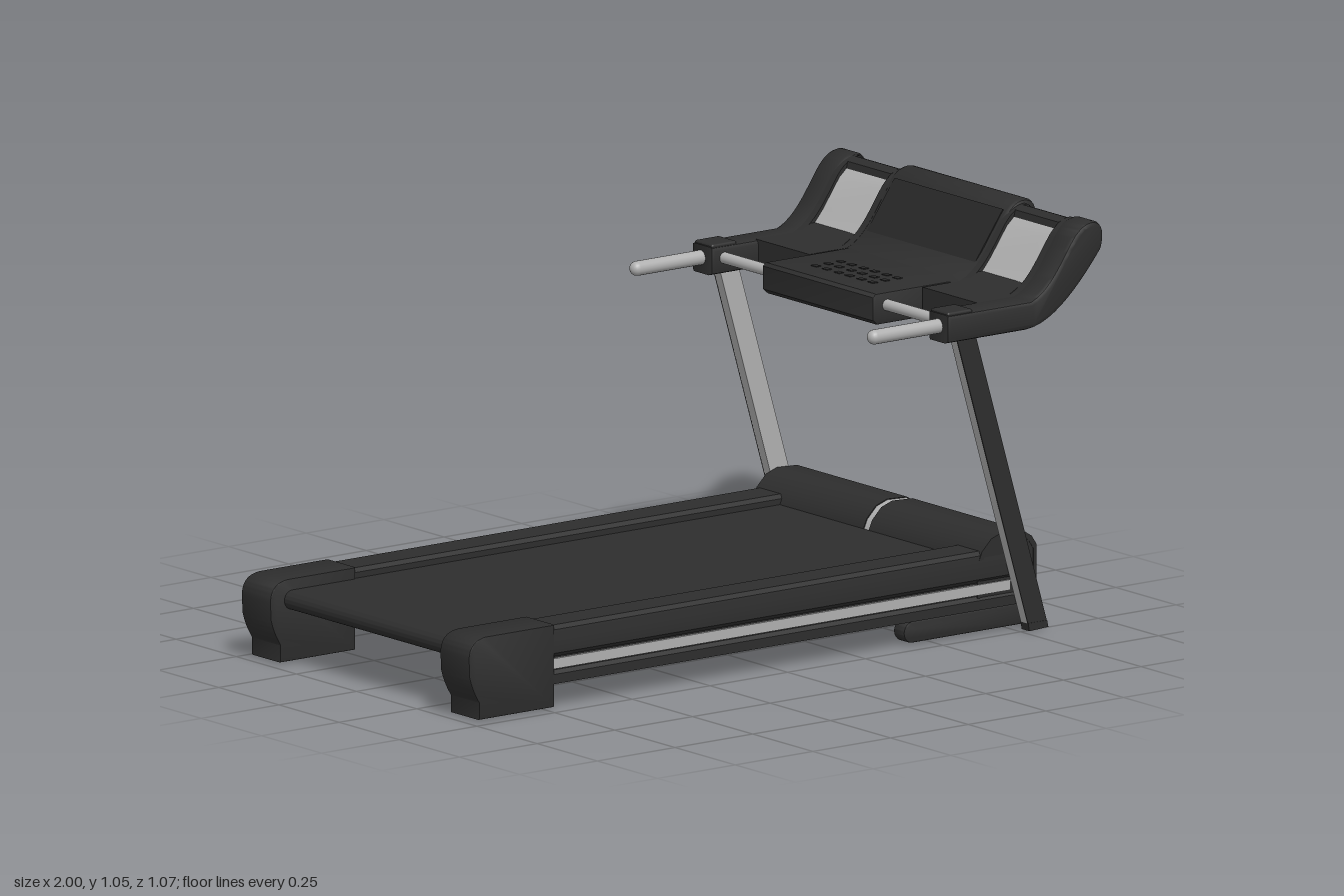
import * as THREE from 'three';
import { toCreasedNormals } from 'three/addons/utils/BufferGeometryUtils.js';
import { RoundedBoxGeometry } from 'three/addons/geometries/RoundedBoxGeometry.js';

const dark = new THREE.MeshStandardMaterial({ color: 0x2d2d2d });
const black = new THREE.MeshStandardMaterial({ color: 0x272727 });
const grey = new THREE.MeshStandardMaterial({ color: 0xb0b0b0 });

function add(parent, name, geometry, material, x = 0, y = 0, z = 0) {
  const mesh = new THREE.Mesh(geometry, material);
  mesh.name = name;
  mesh.position.set(x, y, z);
  parent.add(mesh);
  return mesh;
}

// Box given by its limits
function box(parent, name, material, x0, x1, y0, y1, z0, z1) {
  return add(parent, name, new THREE.BoxGeometry(x1 - x0, y1 - y0, z1 - z0), material,
    (x0 + x1) / 2, (y0 + y1) / 2, (z0 + z1) / 2);
}

const polygon = (pts) => new THREE.Shape(pts.map(([x, y]) => new THREE.Vector2(x, y)));

// Side profile (x, y) extruded between two z values, with optional bevelled edges
function slab(shape, z0, z1, bevel = 0) {
  const g = new THREE.ExtrudeGeometry(shape, {
    depth: z1 - z0 - 2 * bevel, bevelEnabled: bevel > 0, bevelSize: bevel,
    bevelThickness: bevel, bevelOffset: -bevel, bevelSegments: 2, curveSegments: 12,
  });
  g.translate(0, 0, z0 + bevel);
  return toCreasedNormals(g, 0.6);
}

// The same, mirrored to the side s
const sideSlab = (shape, s, z0, z1, bevel) =>
  s > 0 ? slab(shape, z0, z1, bevel) : slab(shape, -z1, -z0, bevel);

// Curved console section: flat at the user side, sweeping up at the far end
function consoleProfile(x0, bottom, grow, lift) {
  const s = new THREE.Shape();
  s.moveTo(x0, bottom);
  s.lineTo(0.75, bottom);
  s.bezierCurveTo(0.84, bottom + 0.005, 0.93 + grow, 0.9 - grow, 0.985 + grow, 0.97);
  s.quadraticCurveTo(0.995 + grow, 0.99, 0.992 + grow, 1.02 + lift);
  s.quadraticCurveTo(0.985 + grow, 1.048 + lift, 0.955, 1.048 + lift);
  s.quadraticCurveTo(0.92, 1.046 + lift, 0.89, 1.005);
  s.bezierCurveTo(0.85, 0.95, 0.82, 0.89, 0.76, 0.867);
  s.lineTo(x0, 0.867);
  s.closePath();
  return s;
}

function buildDeck() {
  const deck = new THREE.Group();
  deck.name = 'deck';
  deck.position.z = -0.006;

  // Running belt wrapped around its rollers
  const belt = new THREE.Shape();
  belt.moveTo(-0.93, 0.14);
  belt.lineTo(0.645, 0.14);
  belt.lineTo(0.645, 0.19);
  belt.lineTo(-0.93, 0.19);
  belt.absarc(-0.93, 0.165, 0.025, Math.PI / 2, Math.PI * 1.5, false);
  add(deck, 'runningBelt', slab(belt, -0.362, 0.362), dark);
  box(deck, 'frontCrossMember', dark, 0.51, 0.645, 0.1, 0.14, -0.44, 0.44);

  const foot = new THREE.Shape();
  foot.moveTo(-0.967, 0.005);
  foot.lineTo(-0.725, 0.005);
  foot.lineTo(-0.725, 0.22);
  foot.lineTo(-0.945, 0.22);
  foot.quadraticCurveTo(-1, 0.215, -1, 0.165);
  foot.lineTo(-0.998, 0.12);
  foot.quadraticCurveTo(-0.99, 0.085, -0.967, 0.05);
  foot.closePath();

  for (const s of [1, -1]) {
    // Side rail: top flange over a grooved wall that carries the trim strip
    const section = polygon([[0.448, 0.065], [0.472, 0.065], [0.472, 0.09], [0.464, 0.1],
      [0.464, 0.135], [0.472, 0.145], [0.472, 0.17], [0.466, 0.205], [0.455, 0.215],
      [0.368, 0.215], [0.358, 0.205], [0.358, 0.165], [0.448, 0.165]].map(([z, y]) => [-s * z, y]));
    const rail = slab(section, -0.96, 0.8);
    rail.rotateY(Math.PI / 2);
    add(deck, 'sideRail', rail, dark);
    const z = s * 0.458;
    box(deck, 'trimStrip', grey, -0.94, 0.745, 0.104, 0.131, z - 0.013, z + 0.013);
    add(deck, 'rearFoot', sideSlab(foot, s, 0.352, 0.473, 0.004), dark);
  }

  // Motor hood: two open-bottomed shells with end walls and a light seam between
  const outer = [[0.83, 0.065], [0.83, 0.212], [0.815, 0.235], [0.785, 0.254], [0.72, 0.257],
    [0.685, 0.245], [0.655, 0.215], [0.64, 0.18], [0.64, 0.09]];
  const hoodPath = (d) => outer.map(([x, y]) =>
    [x > 0.735 ? x - d : x + d, y > 0.1 ? y - d : y]);
  const hoodShell = (a, b) => polygon([...hoodPath(a), ...hoodPath(b).reverse()]);
  for (const s of [1, -1]) {
    add(deck, 'motorHood', sideSlab(hoodShell(0, 0.01), s, 0.011, 0.468), dark);
    add(deck, 'hoodEndWall', sideSlab(polygon(hoodPath(0.002)), s, 0.456, 0.467), dark);
  }
  add(deck, 'hoodSeam', slab(hoodShell(0.002, 0.012), -0.012, 0.012), grey);

  // Floor skids with their bolts
  for (const [s, z] of [[1, 0.436], [-1, -0.454]]) {
    const skid = new THREE.Shape();
    skid.absarc(0.8, 0.034, 0.028, -Math.PI / 2, Math.PI / 2, false);
    skid.absarc(0.44, 0.034, 0.028, Math.PI / 2, Math.PI * 1.5, false);
    add(deck, 'floorSkid', slab(skid, z - 0.022, z + 0.022, 0.004), dark);
    box(deck, 'skidPlate', grey, 0.44, 0.8, 0.014, 0.054, z - 0.0235, z - 0.02);
    box(deck, 'skidBracket', dark, 0.66, 0.76, 0.055, 0.075, z - 0.016, z + 0.016);
    const bolt = new THREE.CylinderGeometry(0.01, 0.01, 0.075, 16);
    bolt.rotateX(Math.PI / 2);
    add(deck, 'skidBolt', bolt, dark, 0.8, 0.034, z + s * 0.03);
  }
  return deck;
}

function buildUprights() {
  const uprights = new THREE.Group();
  uprights.name = 'uprights';
  const post = polygon([[0.535, 0.81], [0.596, 0.81], [0.829, 0.02], [0.768, 0.02]]);
  const toe = polygon([[0.768, 0.021], [0.829, 0.021], [0.833, 0.003], [0.772, 0]]);
  for (const s of [1, -1]) {
    add(uprights, 'uprightPost', sideSlab(post, s, 0.477, 0.504), grey);
    add(uprights, 'uprightCover', sideSlab(post, s, 0.503, 0.507), dark);
    add(uprights, 'uprightFoot', sideSlab(toe, s, 0.476, 0.508), dark);
  }
  return uprights;
}

function buildConsole() {
  const top = new THREE.Group();
  top.name = 'console';

  // Centre panel: narrow key shelf in front of a wider curved back
  add(top, 'centrePanel', slab(consoleProfile(0.73, 0.787, 0.006, 0.007), -0.248, 0.248, 0.014), dark);
  const shelf = polygon([[0.485, 0.8], [0.5, 0.787], [0.76, 0.787], [0.78, 0.868], [0.495, 0.868], [0.485, 0.86]]);
  add(top, 'keyShelf', slab(shelf, -0.232, 0.228, 0.004), dark);
  const screen = add(top, 'displayScreen', new THREE.BoxGeometry(0.165, 0.012, 0.45), black, 0.863, 0.961, 0);
  screen.rotation.z = 0.953;

  // Keys in three clusters, almost flush
  for (let c = 0; c < 3; c++) {
    for (let i = 0; i < 3; i++) {
      for (let j = 0; j < 2; j++) {
        const x = 0.57 + i * 0.04;
        const z = (c - 1) * 0.095 + (j - 0.5) * 0.045;
        box(top, 'key', black, x - 0.008, x + 0.008, 0.862, 0.87, z - 0.011, z + 0.011);
      }
    }
  }

  // Wing parts around the tray, which leaves a slot under the upper lip
  const wing = consoleProfile(0.64, 0.803, -0.014, -0.004);
  const wingLower = polygon([[0.64, 0.803], [0.75, 0.803], [0.81, 0.82], [0.874, 0.867],
    [0.895, 0.889], [0.8, 0.889], [0.76, 0.867], [0.64, 0.867]]);
  const wingUpper = polygon([[0.916, 0.906], [0.945, 0.94], [0.974, 0.985], [0.978, 1.016],
    [0.968, 1.036], [0.945, 1.044], [0.92, 1.034], [0.912, 1.0], [0.898, 0.95]]);
  const tray = polygon([[0.808, 0.882], [0.85, 0.882], [0.9, 0.95], [0.92, 1.02], [0.893, 0.996], [0.84, 0.92]]);

  for (const s of [1, -1]) {
    add(top, 'sideArm', sideSlab(consoleProfile(0.49, 0.793, 0, 0), s, 0.448, 0.533, 0.012), dark);
    add(top, 'armCap', new RoundedBoxGeometry(0.08, 0.03, 0.075, 2, 0.006), dark, 0.535, 0.858, s * 0.49);
    add(top, 'wingInnerEdge', sideSlab(wing, s, 0.235, 0.258), dark);
    add(top, 'wingOuterEdge', sideSlab(wing, s, 0.438, 0.46), dark);
    add(top, 'wingLower', sideSlab(wingLower, s, 0.258, 0.438), dark);
    add(top, 'wingUpper', sideSlab(wingUpper, s, 0.258, 0.438), dark);
    add(top, 'tray', sideSlab(tray, s, 0.258, 0.438), grey);

    // Tubes: cross bar and hand grip
    const bar = new THREE.CylinderGeometry(0.015, 0.015, 0.25, 20);
    bar.rotateX(Math.PI / 2);
    add(top, 'crossBar', bar, grey, 0.531, 0.835, s * 0.34);
    const grip = new THREE.CapsuleGeometry(0.019, 0.23, 6, 20);
    grip.rotateZ(Math.PI / 2);
    add(top, 'handGrip', grip, grey, 0.399, 0.834, s * 0.493);
  }
  return top;
}

export function createModel() {
  const model = new THREE.Group();
  model.name = 'treadmill';
  model.add(buildDeck(), buildUprights(), buildConsole());
  return model;
}
